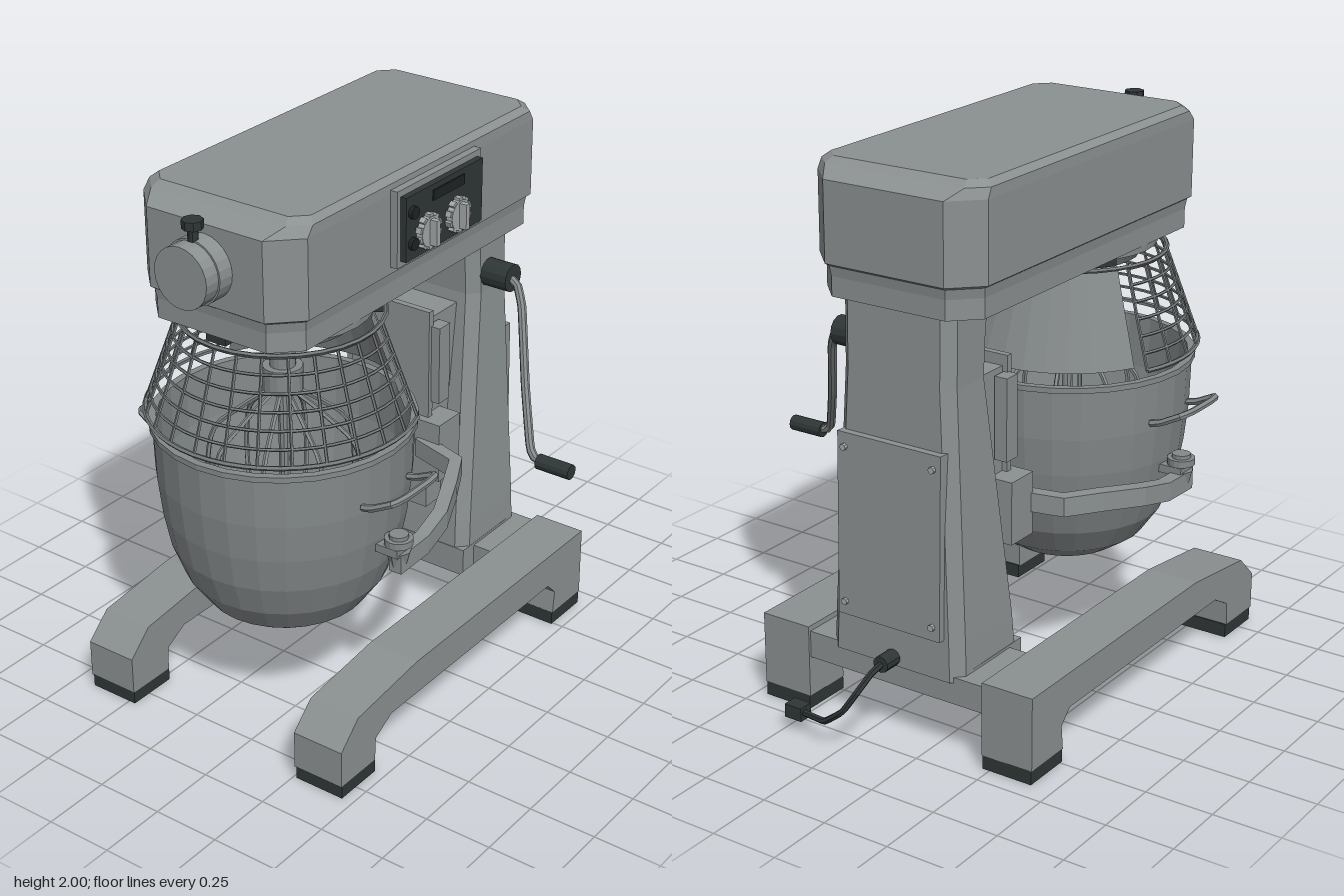
import * as THREE from 'three';

const V = (x, y, z) => new THREE.Vector3(x, y, z);
const mat = (name, color, flat = true) => new THREE.MeshStandardMaterial({ name, color, flatShading: flat, side: THREE.DoubleSide });

// Closed flat-shaded solid through rings that run counter-clockwise around the loft direction
function loft(rings) {
  const p = [], n = rings[0].length;
  const tri = (...vs) => vs.forEach(v => p.push(v.x, v.y, v.z));
  for (let k = 0; k + 1 < rings.length; k++)
    for (let i = 0; i < n; i++) {
      const j = (i + 1) % n, a = rings[k], b = rings[k + 1];
      tri(a[i], a[j], b[j]);
      tri(a[i], b[j], b[i]);
    }
  const first = rings[0], last = rings[rings.length - 1];
  for (let i = 1; i + 1 < n; i++) {
    tri(first[0], first[i + 1], first[i]);
    tri(last[0], last[i], last[i + 1]);
  }
  const g = new THREE.BufferGeometry();
  g.setAttribute('position', new THREE.Float32BufferAttribute(p, 3));
  g.computeVertexNormals();
  return g;
}

// Horizontal rectangle with cut corners
const octRing = (y, hx, z0, z1, cx, cz = cx) => [
  V(hx, y, z1 - cz), V(hx, y, z0 + cz), V(hx - cx, y, z0), V(cx - hx, y, z0),
  V(-hx, y, z0 + cz), V(-hx, y, z1 - cz), V(cx - hx, y, z1), V(hx - cx, y, z1)];

// Rectangular bar along a path
function barGeo(pts, w, h) {
  return loft(pts.map((p, i) => {
    const t = pts[Math.min(i + 1, pts.length - 1)].clone().sub(pts[Math.max(i - 1, 0)]).setY(0).normalize();
    const u = V(0, 1, 0).cross(t).multiplyScalar(w / 2), v = V(0, h / 2, 0);
    return [[1, 1], [-1, 1], [-1, -1], [1, -1]].map(([a, b]) => p.clone().addScaledVector(u, a).addScaledVector(v, b));
  }));
}

// Round rod along straight or rounded paths
function rodGeo(pts, r, sides = 6, smooth = 0.15) {
  const c = pts.length > 2 ? new THREE.CatmullRomCurve3(pts, false, 'catmullrom', smooth) : new THREE.LineCurve3(...pts);
  return new THREE.TubeGeometry(c, pts.length > 2 ? pts.length * 4 : 1, r, sides);
}

export function createModel() {
  const root = new THREE.Group();
  root.name = 'standMixer';
  const g = new THREE.Group();
  g.name = 'mixer';
  g.position.x = -0.105;
  root.add(g);

  const body = mat('body grey', 0x8b9091);
  const steel = mat('bowl steel', 0x84898a);
  const wire = mat('guard wire', 0x74797a);
  const dark = mat('dark rubber', 0x2f3636);
  const black = mat('display black', 0x1e2323);
  const light = mat('knob grey', 0xa3a8a8);

  const add = (name, geo, m, x = 0, y = 0, z = 0) => {
    const mesh = new THREE.Mesh(geo, m);
    mesh.name = name;
    mesh.position.set(x, y, z);
    g.add(mesh);
    return mesh;
  };
  const box = (name, m, x0, x1, y0, y1, z0, z1) =>
    add(name, new THREE.BoxGeometry(x1 - x0, y1 - y0, z1 - z0), m, (x0 + x1) / 2, (y0 + y1) / 2, (z0 + z1) / 2);
  const cyl = (name, m, rt, rb, h, x, y, z, axis = 'y', seg = 16) => {
    const geo = new THREE.CylinderGeometry(rt, rb, h, seg);
    if (axis === 'x') geo.rotateZ(-Math.PI / 2);
    if (axis === 'z') geo.rotateX(Math.PI / 2);
    return add(name, geo, m, x, y, z);
  };

  // Head housing with lower lip
  add('head', loft([
    octRing(1.55, 0.315, -0.68, 0.76, 0.09), octRing(1.62, 0.315, -0.68, 0.76, 0.09),
    octRing(1.655, 0.32, -0.685, 0.765, 0.09), octRing(1.665, 0.335, -0.7, 0.78, 0.1),
    octRing(1.945, 0.335, -0.7, 0.78, 0.1), octRing(1.98, 0.333, -0.64, 0.71, 0.06),
    octRing(2.0, 0.31, -0.61, 0.68, 0.05)]), body);

  // Column
  add('column', loft([
    octRing(0.28, 0.275, -0.68, -0.31, 0.04), octRing(0.42, 0.27, -0.677, -0.32, 0.04),
    octRing(1.3, 0.225, -0.655, -0.425, 0.04), octRing(1.46, 0.225, -0.652, -0.415, 0.04),
    octRing(1.56, 0.225, -0.65, -0.4, 0.04)]), body);
  const cover = box('rearCover', body, -0.21, 0.21, 0.43, 1.09, -0.695, -0.65);
  cover.rotation.x = 0.02;
  for (const x of [-0.18, 0.18]) for (const y of [0.48, 1.04])
    cyl('coverScrew', light, 0.012, 0.012, 0.02, x, y, y > 1 ? -0.692 : -0.703, 'z', 8);

  // Base: arched legs, feet and cross member
  const leg = new THREE.Shape([
    [0.835, 0.05], [0.835, 0.19], [0.74, 0.28], [0.4, 0.32], [-0.68, 0.32], [-0.68, 0.05], [-0.49, 0.05],
    [-0.5, 0.14], [-0.45, 0.19], [0.55, 0.19], [0.64, 0.14], [0.645, 0.05]].map(p => new THREE.Vector2(...p)));
  for (const s of [-1, 1]) {
    const geo = new THREE.ExtrudeGeometry(leg, { depth: 0.2, bevelEnabled: false });
    geo.rotateY(-Math.PI / 2);
    add('leg', geo, body, s * 0.465 + 0.1);
    for (const [z0, z1] of [[0.64, 0.83], [-0.68, -0.49]]) {
      box('foot', dark, s * 0.465 - 0.097, s * 0.465 + 0.097, 0, 0.052, z0, z1);
      cyl('footBolt', light, 0.016, 0.016, 0.004, s * 0.465, 0.001, (z0 + z1) / 2, 'y', 8);
    }
  }
  box('crossMember', body, -0.37, 0.37, 0.2, 0.3, -0.67, -0.38);
  box('columnFoot', body, -0.275, 0.275, 0.2, 0.31, -0.6, -0.31);

  // Bowl with rolled rim
  const profile = [[0.001, 0.33], [0.1, 0.335], [0.2, 0.37], [0.29, 0.43], [0.36, 0.53], [0.405, 0.65],
    [0.43, 0.78], [0.445, 0.92], [0.45, 1.1], [0.462, 1.1], [0.462, 1.12], [0.435, 1.12], [0.43, 0.92],
    [0.39, 0.65], [0.28, 0.45], [0.001, 0.35]];
  add('bowl', new THREE.LatheGeometry(profile.map(p => new THREE.Vector2(...p)), 28), steel, 0, 0, 0.4);

  // Bowl handles, support pins and yoke arms
  for (const s of [-1, 1]) {
    add('bowlHandle', rodGeo([V(s * 0.43, 0.95, 0.27), V(s * 0.47, 0.96, 0.27), V(s * 0.55, 1.0, 0.28), V(s * 0.558, 1.0, 0.34),
      V(s * 0.558, 1.0, 0.46), V(s * 0.55, 1.0, 0.52), V(s * 0.47, 0.96, 0.53), V(s * 0.43, 0.95, 0.53)], 0.013), steel);
    box('bowlLug', steel, s * 0.465 - 0.045, s * 0.465 + 0.045, 0.735, 0.765, 0.355, 0.445);
    cyl('pinCap', steel, 0.05, 0.05, 0.025, s * 0.485, 0.78, 0.4);
    cyl('pinTop', steel, 0.034, 0.034, 0.02, s * 0.485, 0.797, 0.4, 'y', 12);
    cyl('pin', steel, 0.045, 0.025, 0.08, s * 0.485, 0.705, 0.4, 'y', 8);
    add('yokeArm', barGeo([V(s * 0.15, 0.77, -0.2), V(s * 0.34, 0.765, -0.15), V(s * 0.405, 0.755, -0.02),
      V(s * 0.475, 0.735, 0.14), V(s * 0.492, 0.71, 0.27), V(s * 0.492, 0.705, 0.43)], 0.05, 0.07), body);
  }

  // Lifting slide
  box('slideRail', body, -0.15, 0.15, 0.49, 1.26, -0.43, -0.24);
  box('carriage', body, -0.24, 0.24, 0.65, 0.88, -0.32, -0.19);
  box('slideStrip', body, -0.17, 0.17, 0.88, 1.3, -0.245, -0.22);
  for (const s of [-1, 1]) box('slideEdge', body, s * 0.18 - 0.025, s * 0.18 + 0.025, 0.94, 1.24, -0.3, -0.235);

  // Planetary drive and agitator
  cyl('driveRing', steel, 0.315, 0.315, 0.025, 0, 1.54, 0.4, 'y', 28);
  cyl('driveDisc', steel, 0.28, 0.25, 0.05, 0, 1.505, 0.4, 'y', 28);
  for (const a of [0, 1.1, -1.1])
    add('guardClip', new THREE.BoxGeometry(0.08, 0.035, 0.04), dark, 0.32 * Math.sin(a * 2), 1.53, 0.4 + 0.32 * Math.cos(a * 2)).rotation.y = a * 2;
  cyl('driveShaft', steel, 0.045, 0.045, 0.22, 0, 1.4, 0.4);
  cyl('shaftCollar', steel, 0.07, 0.07, 0.09, 0, 1.255, 0.4);
  cyl('agitatorShaft', steel, 0.02, 0.02, 0.72, 0, 0.86, 0.4, 'y', 10);
  for (let i = 0; i < 8; i++) {
    const a = (i + 0.5) * Math.PI / 4;
    const path = [[0.03, 1.21], [0.15, 1.12], [0.26, 1.0], [0.27, 0.75], [0.16, 0.53], [0, 0.48]];
    add('whiskWire', rodGeo(path.map(([r, y]) => V(r * Math.sin(a), y, r * Math.cos(a))), 0.009, 5, 0.5), steel, 0, 0, 0.4);
  }

  // Bowl guard: wire cage in front, solid shield behind
  const ringGeo = (r, tube, arc) => new THREE.TorusGeometry(r, tube, 5, 30, arc).rotateZ(Math.PI / 2 - arc / 2).rotateX(Math.PI / 2);
  const arc = 3.9, rAt = y => 0.345 + (1.5 - y) * 0.365;
  for (let i = 0; i < 7; i++) {
    const y = 1.5 - i * 0.0567;
    add('guardRing', ringGeo(rAt(y), i % 6 ? 0.006 : 0.009, arc), wire, 0, y, 0.4);
  }
  for (let i = 0; i <= 16; i++) {
    const a = -arc / 2 + arc * i / 16, at = y => V(rAt(y) * Math.sin(a), y, rAt(y) * Math.cos(a));
    add('guardBar', rodGeo([at(1.5), at(1.16)], 0.006, 5), wire, 0, 0, 0.4);
  }
  add('guardTopRing', ringGeo(0.35, 0.008, Math.PI * 2), wire, 0, 1.505, 0.4);
  add('guardShield', new THREE.CylinderGeometry(0.305, 0.425, 0.34, 12, 1, true, 2.0, 2 * Math.PI - 4), steel, 0, 1.33, 0.4);

  // Front attachment hub and its thumb screw
  cyl('hubBase', body, 0.113, 0.113, 0.07, 0, 1.8, 0.805, 'z', 24);
  cyl('hubFace', body, 0.107, 0.107, 0.06, 0, 1.8, 0.868, 'z', 24);
  cyl('thumbScrewStem', dark, 0.018, 0.018, 0.08, 0, 1.92, 0.83, 'y', 10);
  cyl('thumbScrew', dark, 0.036, 0.036, 0.03, 0, 1.963, 0.83, 'y', 8);

  // Control panel on the left side
  box('panelFrame', body, 0.33, 0.362, 1.69, 1.96, -0.235, 0.245);
  box('controlPanel', dark, 0.35, 0.385, 1.712, 1.938, -0.212, 0.228);
  box('display', black, 0.38, 0.39, 1.882, 1.918, -0.1, 0.08);
  for (const y of [1.77, 1.88]) cyl('button', black, 0.022, 0.022, 0.02, 0.39, y, 0.195, 'x', 12);
  for (const z of [0.115, -0.055]) {
    cyl('knob', light, 0.053, 0.055, 0.025, 0.395, 1.79, z, 'x', 20);
    for (let i = 0; i < 10; i++) {
      const a = i * Math.PI / 5;
      add('knobTooth', new THREE.BoxGeometry(0.022, 0.018, 0.02), light, 0.395, 1.79 + 0.053 * Math.cos(a), z + 0.053 * Math.sin(a)).rotation.x = a;
    }
    box('knobGrip', light, 0.4, 0.435, 1.745, 1.835, z - 0.01, z + 0.01);
  }

  // Lift crank
  cyl('crankHub', dark, 0.052, 0.052, 0.12, 0.27, 1.37, -0.51, 'x', 14);
  add('crankArm', rodGeo([V(0.31, 1.37, -0.51), V(0.355, 1.355, -0.5), V(0.4, 1.29, -0.465), V(0.5, 1.06, -0.345),
    V(0.595, 0.885, -0.24), V(0.625, 0.855, -0.23), V(0.67, 0.85, -0.23)], 0.016, 8), steel);
  cyl('crankGrip', dark, 0.028, 0.028, 0.135, 0.705, 0.85, -0.23, 'x', 12);

  // Power cord and plug
  cyl('cordGland', dark, 0.03, 0.03, 0.08, 0, 0.31, -0.71, 'z', 10);
  add('powerCord', rodGeo([V(0, 0.31, -0.74), V(0, 0.3, -0.8), V(0.015, 0.25, -0.86), V(0.065, 0.17, -0.88),
    V(0.155, 0.1, -0.865), V(0.29, 0.075, -0.82)], 0.012), dark);
  box('plug', dark, 0.275, 0.345, 0.05, 0.1, -0.845, -0.79);

  return root;
}
